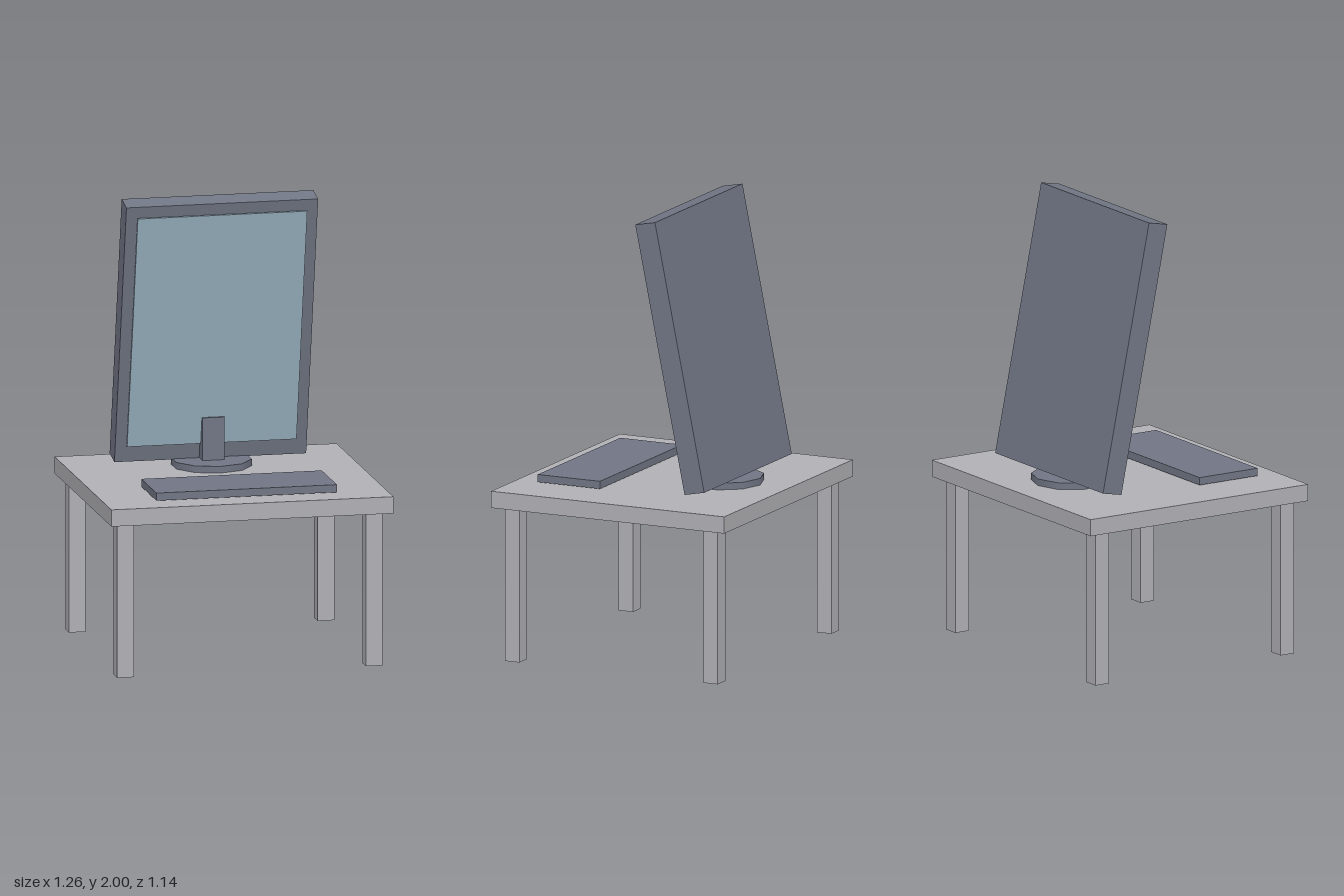
import * as THREE from 'three';

const paint = (name, color) => {
  const m = new THREE.MeshStandardMaterial({ color });
  m.name = name;
  return m;
};

export function createModel() {
  const tableGrey = paint('tableGrey', 0xb0b0b5);
  const slate = paint('slate', 0x717685);
  const screenBlue = paint('screenBlue', 0x9ab3c2);

  const model = new THREE.Group();
  model.name = 'computerDesk';

  const box = (name, size, position, material, parent = model) => {
    const mesh = new THREE.Mesh(new THREE.BoxGeometry(...size), material);
    mesh.name = name;
    mesh.position.set(...position);
    parent.add(mesh);
    return mesh;
  };

  // Table: top and four square legs
  box('tableTop', [1.265, 0.075, 1.14], [0, 0.727, 0], tableGrey);
  for (const sx of [-1, 1]) {
    for (const sz of [-1, 1]) {
      box('tableLeg', [0.075, 0.69, 0.07], [sx * 0.558, 0.345, sz * 0.485], tableGrey);
    }
  }

  // Keyboard slab at the front of the table
  box('keyboard', [0.81, 0.034, 0.304], [0, 0.788, 0.303], slate);

  // Ten-sided monitor foot and its neck
  const foot = new THREE.Mesh(new THREE.CylinderGeometry(0.178, 0.178, 0.031, 10), slate);
  foot.name = 'monitorFoot';
  foot.position.set(0, 0.779, -0.253);
  model.add(foot);
  box('monitorNeck', [0.1, 0.205, 0.09], [0, 0.883, -0.255], slate);

  // Monitor, tipped forward, with a thin screen panel on its front
  const monitor = new THREE.Group();
  monitor.name = 'monitor';
  monitor.position.set(0, 1.396, -0.203);
  monitor.rotation.x = 0.2;
  model.add(monitor);
  box('monitorCase', [0.86, 1.213, 0.098], [0, 0, 0], slate, monitor);
  box('screen', [0.76, 1.087, 0.008], [0, 0.014, 0.061], screenBlue, monitor);

  return model;
}
